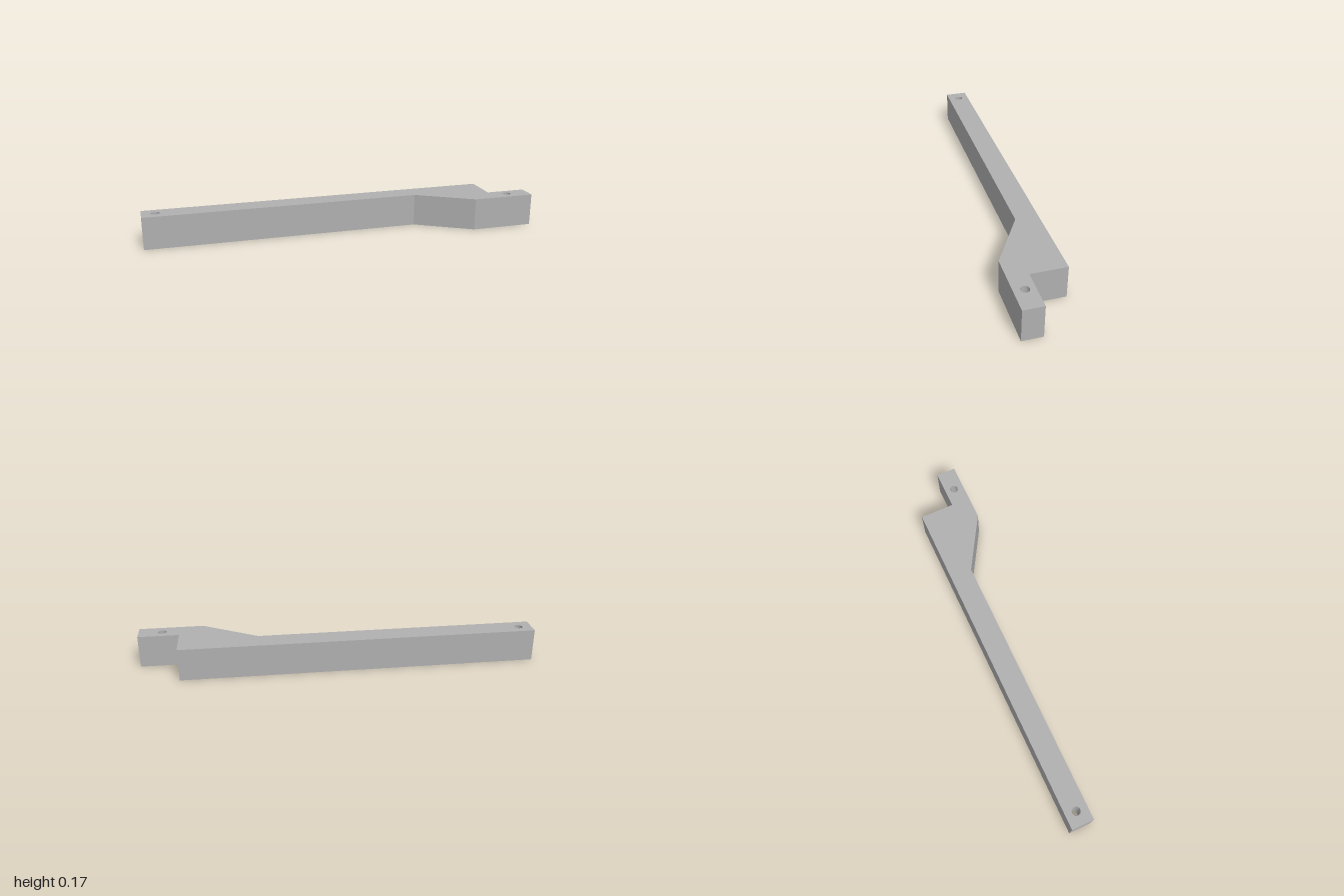
import * as THREE from 'three';

export function createModel() {
  const group = new THREE.Group();
  const grey = new THREE.MeshStandardMaterial({ color: 0xb0b0b0 });
  grey.name = 'grey';

  // Plan outline of the cranked bar as [x, z], counter-clockwise from the front
  const outline = [
    [-1, -0.025], [0.4, -0.025], [0.677, 0.138], [1, 0.138],
    [1, 0.039], [0.795, 0.039], [0.795, -0.138], [-1, -0.138],
  ];
  const shape = new THREE.Shape(outline.map(([x, z]) => new THREE.Vector2(x, -z)));

  // Pin holes through both ends
  for (const [x, z] of [[-0.932, -0.083], [0.881, 0.086]]) {
    shape.holes.push(new THREE.Path().absarc(x, -z, 0.021, 0, Math.PI * 2, true));
  }

  const geometry = new THREE.ExtrudeGeometry(shape, {
    depth: 0.165, bevelEnabled: false, curveSegments: 16,
  });
  geometry.rotateX(-Math.PI / 2);

  const bar = new THREE.Mesh(geometry, grey);
  bar.name = 'crankedBar';
  group.add(bar);
  return group;
}
